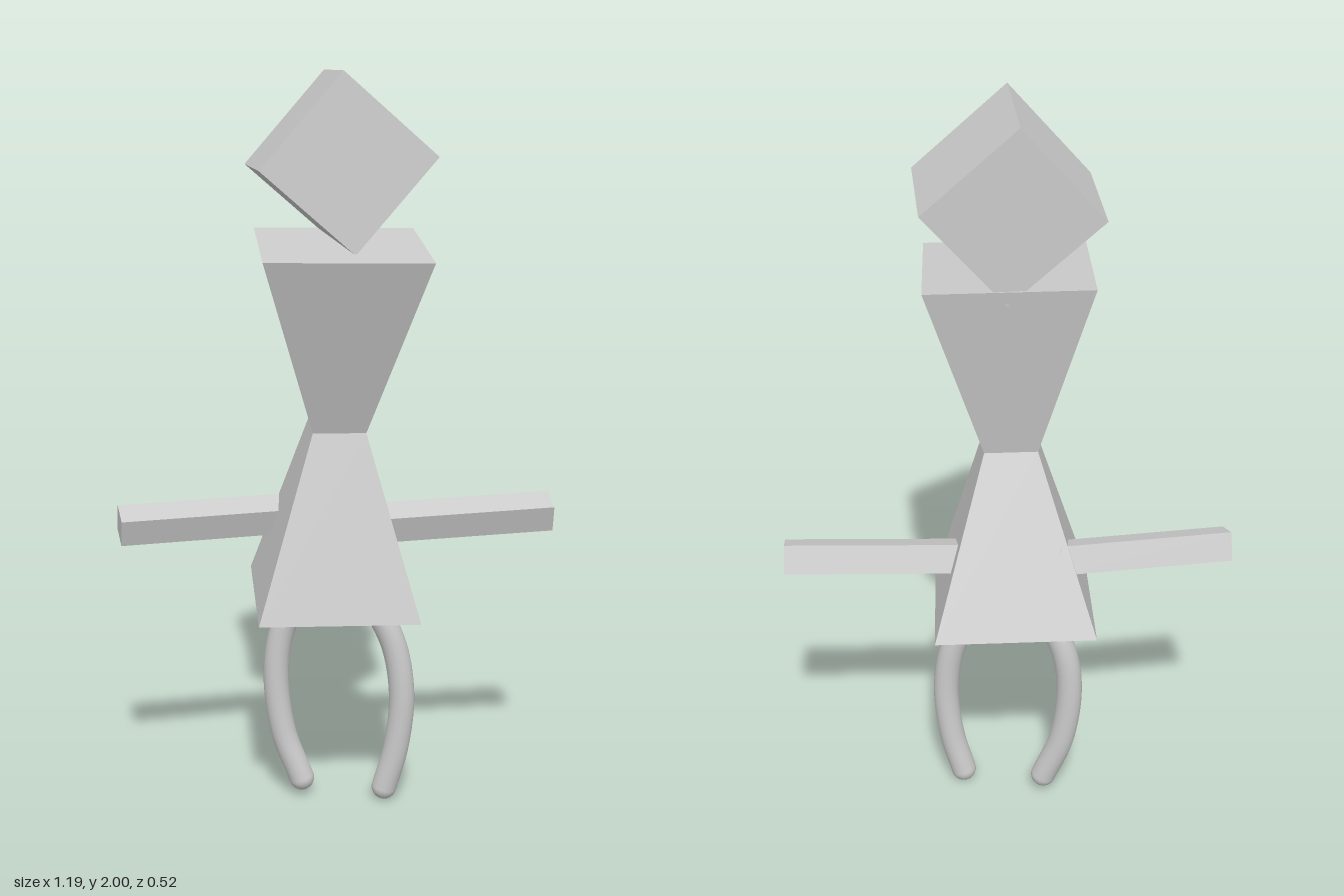
import * as THREE from 'three';

const flat = new THREE.MeshStandardMaterial({ color: 0xcccccc, flatShading: true });
const smooth = new THREE.MeshStandardMaterial({ color: 0xcccccc });
const V = (p) => new THREE.Vector3(...p);

function part(parent, name, geometry, material = flat) {
  const mesh = new THREE.Mesh(geometry, material);
  mesh.name = name;
  parent.add(mesh);
  return mesh;
}

// Square tapered block, given its half widths at top and bottom
function taper(top, bottom, height) {
  return new THREE.CylinderGeometry(top * Math.SQRT2, bottom * Math.SQRT2, height, 4, 1, false, Math.PI / 4);
}

// Square bar between two points, rolled about its own length
function arm(parent, name, inner, outer) {
  const a = V(inner), b = V(outer);
  const x = b.clone().sub(a);
  const length = x.length();
  x.normalize();
  if (x.x < 0) x.negate();
  const z = new THREE.Vector3(0, -0.33, 0.95);
  z.addScaledVector(x, -z.dot(x)).normalize();
  const y = z.clone().cross(x);
  const mesh = part(parent, name, new THREE.BoxGeometry(length, 0.077, 0.081));
  mesh.quaternion.setFromRotationMatrix(new THREE.Matrix4().makeBasis(x, y, z));
  mesh.position.copy(a).add(b).multiplyScalar(0.5);
}

// Bowed round leg with a rounded foot end
function leg(parent, name, points, radius) {
  const group = new THREE.Group();
  group.name = name;
  parent.add(group);
  const path = new THREE.CatmullRomCurve3(points.map(V));
  part(group, name + 'Tube', new THREE.TubeGeometry(path, 32, radius, 16), smooth);
  for (const end of [points[0], points[points.length - 1]]) {
    part(group, name + 'End', new THREE.SphereGeometry(radius, 16, 12), smooth).position.copy(V(end));
  }
}

export function createModel() {
  const model = new THREE.Group();
  model.name = 'figure';

  // Hourglass body, leaning slightly forward
  const body = new THREE.Group();
  body.name = 'body';
  body.position.set(-0.005, 1.083, 0);
  body.rotation.set(0.086, 0.035, -0.018);
  model.add(body);
  part(body, 'chest', taper(0.213, 0.07, 0.483)).position.y = 0.2415;
  part(body, 'skirt', taper(0.07, 0.213, 0.483)).position.y = -0.2415;

  // Cube head balanced on one edge
  const head = part(model, 'head', new THREE.BoxGeometry(0.321, 0.321, 0.321));
  const hx = V([0.24, -0.212, -0.018]).normalize();
  const hz = V([0.032, 0.009, 0.32]).normalize();
  hz.addScaledVector(hx, -hz.dot(hx)).normalize();
  head.quaternion.setFromRotationMatrix(new THREE.Matrix4().makeBasis(hx, hz.clone().cross(hx), hz));
  head.position.set(0.002, 1.773, -0.009);

  // Arms
  arm(model, 'leftArm', [0.1, 0.787, -0.09], [0.59, 0.805, -0.125]);
  arm(model, 'rightArm', [-0.13, 0.807, -0.133], [-0.586, 0.803, -0.05]);

  // Legs
  leg(model, 'leftLeg', [
    [0.03, 0.635, -0.035], [0.085, 0.585, -0.033], [0.148, 0.47, -0.028],
    [0.174, 0.32, -0.025], [0.16, 0.16, -0.03], [0.128, 0.039, -0.037],
  ], 0.035);
  leg(model, 'rightLeg', [
    [-0.055, 0.645, -0.07], [-0.105, 0.585, -0.08], [-0.15, 0.49, -0.09],
    [-0.169, 0.365, -0.093], [-0.15, 0.19, -0.09], [-0.1, 0.053, -0.08],
  ], 0.035);

  return model;
}
